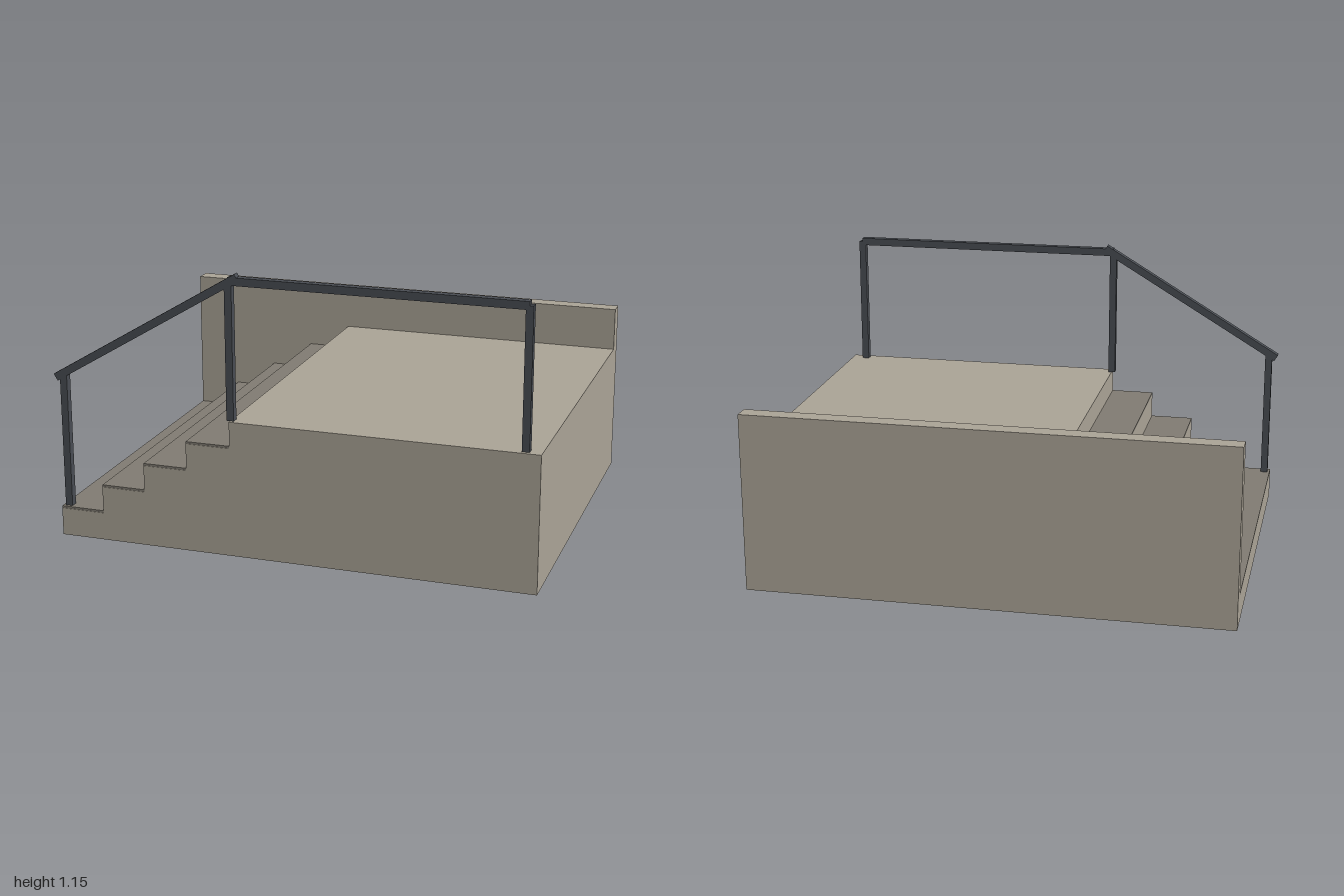
import * as THREE from 'three';

export function createModel() {
  const model = new THREE.Group();
  model.name = 'landingWithSteps';
  const material = (name, color) => {
    const m = new THREE.MeshStandardMaterial({ color });
    m.name = name;
    return m;
  };
  const concrete = material('concrete', 0xaaa396);
  const treadStone = material('darkTread', 0x807b72);
  const metal = material('darkMetal', 0x484c52);

  // Box given by its lower and upper corners
  function block(name, mat, [x0, y0, z0], [x1, y1, z1], parent = model) {
    const mesh = new THREE.Mesh(new THREE.BoxGeometry(x1 - x0, y1 - y0, z1 - z0), mat);
    mesh.position.set((x0 + x1) / 2, (y0 + y1) / 2, (z0 + z1) / 2);
    mesh.name = name;
    parent.add(mesh);
    return mesh;
  }

  const left = -0.98, right = 1, landingEdge = -0.24;
  const back = -0.78, wallFace = -0.708, front = 0.78;
  const landingTop = 0.56, count = 4;
  const run = (landingEdge - left) / count, rise = landingTop / (count + 1);

  // Landing and the low wall along the back
  block('landing', concrete, [landingEdge, 0, wallFace], [right, landingTop, front]);
  block('backWall', concrete, [left, 0, back], [right, 0.742, wallFace]);

  // Solid steps, each capped with a thin dark tread
  for (let i = 0; i < count; i++) {
    const x0 = left + i * run, y = (i + 1) * rise + 0.003;
    block(`step${i + 1}`, concrete, [x0, 0, wallFace], [x0 + run, y, front]);
    block(`tread${i + 1}`, treadStone, [x0, y, wallFace], [x0 + run, y + 0.009, front - 0.002]);
  }

  // Handrail of square bars along the front edge
  const handrail = new THREE.Group();
  handrail.name = 'handrail';
  model.add(handrail);
  const railZ = 0.75, half = 0.015;
  const posts = [[-0.955, 0.124, 0.68], [-0.24, landingTop, 1.12], [0.937, landingTop, 1.12]];
  posts.forEach(([x, y0, y1], i) =>
    block(`post${i + 1}`, metal, [x - half, y0, railZ - half], [x + half, y1, railZ + half], handrail));

  function rail(name, a, b) {
    const dx = b[0] - a[0], dy = b[1] - a[1];
    const mesh = new THREE.Mesh(new THREE.BoxGeometry(Math.hypot(dx, dy), 0.032, 0.032), metal);
    mesh.position.set((a[0] + b[0]) / 2, (a[1] + b[1]) / 2, railZ);
    mesh.rotation.z = Math.atan2(dy, dx);
    mesh.name = name;
    handrail.add(mesh);
  }
  rail('slopingRail', [-0.988, 0.668], [-0.204, 1.136]);
  rail('levelRail', [-0.24, 1.12], [0.937, 1.12]);

  return model;
}
